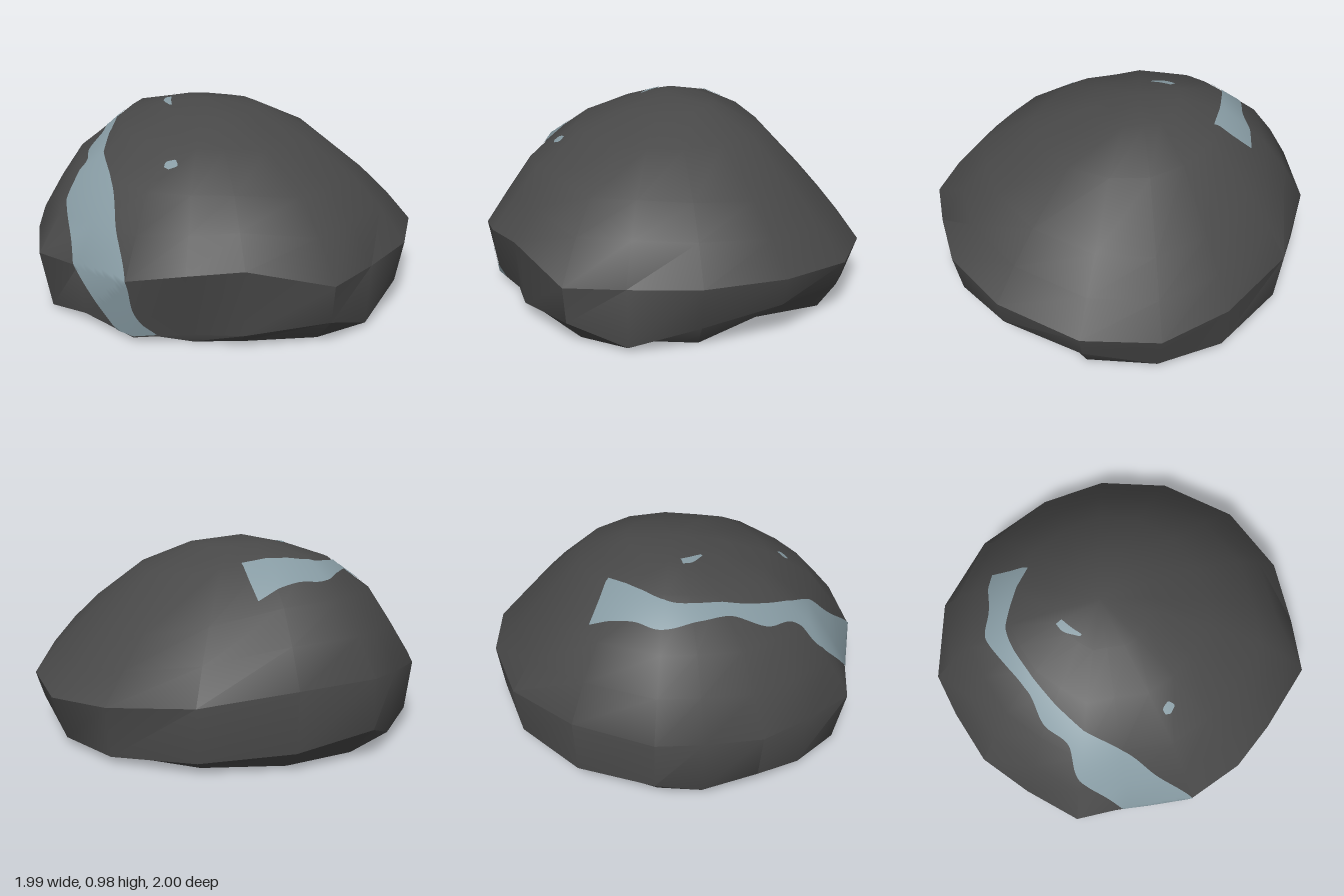
import * as THREE from 'three';
import { toCreasedNormals } from 'three/addons/utils/BufferGeometryUtils.js';

const APEX = new THREE.Vector3(-0.1, 0.975, 0.05);

// Spokes around the rock: rim x, rim z, rim height, foot scale, foot height
const SPOKES = [
  [-0.03, -1, 0.25, 0.93, 0.03], [0.35, -0.94, 0.27, 0.96, 0.14], [0.71, -0.69, 0.32, 0.97, 0.18],
  [0.92, -0.34, 0.33, 0.96, 0.12], [0.97, 0, 0.32, 0.98, 0.02], [0.99, 0.29, 0.31, 0.98, 0.125],
  [0.74, 0.61, 0.4, 0.96, 0.07], [0.56, 0.8, 0.38, 0.88, 0.04], [0.31, 0.94, 0.32, 0.95, 0.02],
  [-0.03, 0.96, 0.3, 0.97, 0.045], [-0.3, 1, 0.3, 0.95, 0.01], [-0.55, 0.84, 0.33, 0.96, 0.02],
  [-0.77, 0.66, 0.35, 0.97, 0.1], [-0.91, 0.41, 0.38, 0.97, 0.06], [-1, 0.2, 0.4, 1, 0.15],
  [-0.96, -0.21, 0.4, 0.98, 0.1], [-0.74, -0.61, 0.33, 0.97, 0.06], [-0.38, -0.88, 0.28, 0.97, 0.03],
];

// Dome heights at each ring, toward the four sides
const RINGS = [0.25, 0.5, 0.75, 0.88, 1];
const HEIGHTS = {
  right: [0.915, 0.81, 0.645, 0.5, 0.31],
  left: [0.96, 0.915, 0.74, 0.585, 0.4],
  front: [0.92, 0.835, 0.67, 0.48, 0.3],
  back: [0.945, 0.82, 0.55, 0.4, 0.25],
};

function rockGeometry() {
  const pos = [APEX.x, APEX.y, APEX.z];
  const index = [];
  const n = SPOKES.length;

  // dome rings
  RINGS.forEach((s, r) => {
    for (const [x, z, rim] of SPOKES) {
      const dx = x - APEX.x, dz = z - APEX.z;
      const wx = dx * dx / (dx * dx + dz * dz);
      const sideX = dx > 0 ? HEIGHTS.right : HEIGHTS.left;
      const sideZ = dz > 0 ? HEIGHTS.front : HEIGHTS.back;
      const height = (k) => sideX[k] * wx + sideZ[k] * (1 - wx);
      const y = height(r) + (rim - height(4)) * s ** 6;
      pos.push(APEX.x + dx * s, y, APEX.z + dz * s);
    }
  });
  // chipped foot, then the flat base with one notch at the back
  for (const [x, z, , scale, y] of SPOKES) pos.push(x * scale, y, z * scale);
  SPOKES.forEach(([x, z], i) => {
    const k = i === 2 ? 0.72 : 0.87;
    pos.push(x * k, 0, z * k);
  });
  pos.push(0, 0, 0);

  const ringCount = RINGS.length + 2;
  const at = (r, i) => 1 + r * n + (i % n);
  const last = 1 + ringCount * n;
  for (let i = 0; i < n; i++) {
    index.push(0, at(0, i + 1), at(0, i));
    for (let r = 0; r < ringCount - 1; r++) {
      const a = at(r, i), b = at(r, i + 1), c = at(r + 1, i), d = at(r + 1, i + 1);
      index.push(a, b, d, a, d, c);
    }
    index.push(last, at(ringCount - 1, i), at(ringCount - 1, i + 1));
  }
  const g = new THREE.BufferGeometry();
  g.setAttribute('position', new THREE.Float32BufferAttribute(pos, 3));
  g.setIndex(index);
  return toCreasedNormals(g, 0.7);
}

// Thin patch between two edge curves, laid onto the rock surface
function patch(rock, leftPts, rightPts, rows, cols) {
  const curve = (pts) => new THREE.CatmullRomCurve3(pts.map((p) => new THREE.Vector3(...p)));
  const left = curve(leftPts), right = curve(rightPts);
  const centre = new THREE.Vector3(-0.1, 0.1, 0.05);
  const ray = new THREE.Raycaster();
  const pos = [], nor = [], index = [];
  for (let i = 0; i <= rows; i++) {
    const a = left.getPoint(i / rows), b = right.getPoint(i / rows);
    for (let j = 0; j <= cols; j++) {
      const p = a.clone().lerp(b, j / cols);
      const dir = p.clone().sub(centre).normalize();
      ray.set(centre.clone().addScaledVector(dir, 3), dir.clone().negate());
      const hit = ray.intersectObject(rock)[0];
      const normal = hit ? hit.normal : dir;
      const q = (hit ? hit.point : p).clone().addScaledVector(dir, 0.005);
      pos.push(q.x, q.y, q.z);
      nor.push(normal.x, normal.y, normal.z);
      if (i < rows && j < cols) {
        const k = i * (cols + 1) + j, m = k + cols + 1;
        index.push(k, m, m + 1, k, m + 1, k + 1);
      }
    }
  }
  const g = new THREE.BufferGeometry();
  g.setAttribute('position', new THREE.Float32BufferAttribute(pos, 3));
  g.setAttribute('normal', new THREE.Float32BufferAttribute(nor, 3));
  g.setIndex(index);
  return g;
}

export function createModel() {
  const group = new THREE.Group();
  group.name = 'boulder';
  const stone = new THREE.MeshStandardMaterial({ color: 0x484848 });
  stone.name = 'dark stone';
  const mineral = new THREE.MeshStandardMaterial({ color: 0x869aa2 });
  mineral.name = 'blue grey mineral';

  const rock = new THREE.Mesh(rockGeometry(), stone);
  rock.name = 'rock';
  group.add(rock);

  const addPatch = (name, left, right, rows, cols) => {
    const mesh = new THREE.Mesh(patch(rock, left, right, rows, cols), mineral);
    mesh.name = name;
    group.add(mesh);
  };

  // vein running from the upper side down the front
  addPatch('mineralVein', [
    [-0.69, 0.8, -0.24], [-0.67, 0.83, 0], [-0.68, 0.81, 0.14], [-0.59, 0.83, 0.3], [-0.49, 0.82, 0.44],
    [-0.41, 0.72, 0.58], [-0.3, 0.69, 0.68], [-0.27, 0.55, 0.8], [-0.12, 0.38, 0.92], [0, 0.22, 0.95], [0.19, 0.025, 0.92],
  ], [
    [-0.46, 0.92, -0.19], [-0.53, 0.91, 0], [-0.57, 0.9, 0.16], [-0.46, 0.87, 0.38], [-0.36, 0.81, 0.5],
    [-0.22, 0.74, 0.62], [-0.02, 0.66, 0.75], [0.12, 0.5, 0.84], [0.31, 0.32, 0.94], [0.33, 0.15, 0.92], [0.41, 0.035, 0.87],
  ], 100, 14);

  // two small flecks
  addPatch('upperFleck',
    [[-0.32, 0.95, 0.15], [-0.29, 0.95, 0.19], [-0.21, 0.95, 0.22]],
    [[-0.29, 0.95, 0.13], [-0.25, 0.95, 0.17], [-0.2, 0.95, 0.21]], 8, 4);
  addPatch('frontFleck',
    [[0.19, 0.78, 0.53], [0.17, 0.78, 0.57], [0.19, 0.78, 0.61]],
    [[0.2, 0.78, 0.53], [0.235, 0.78, 0.56], [0.22, 0.78, 0.61]], 8, 4);

  return group;
}
